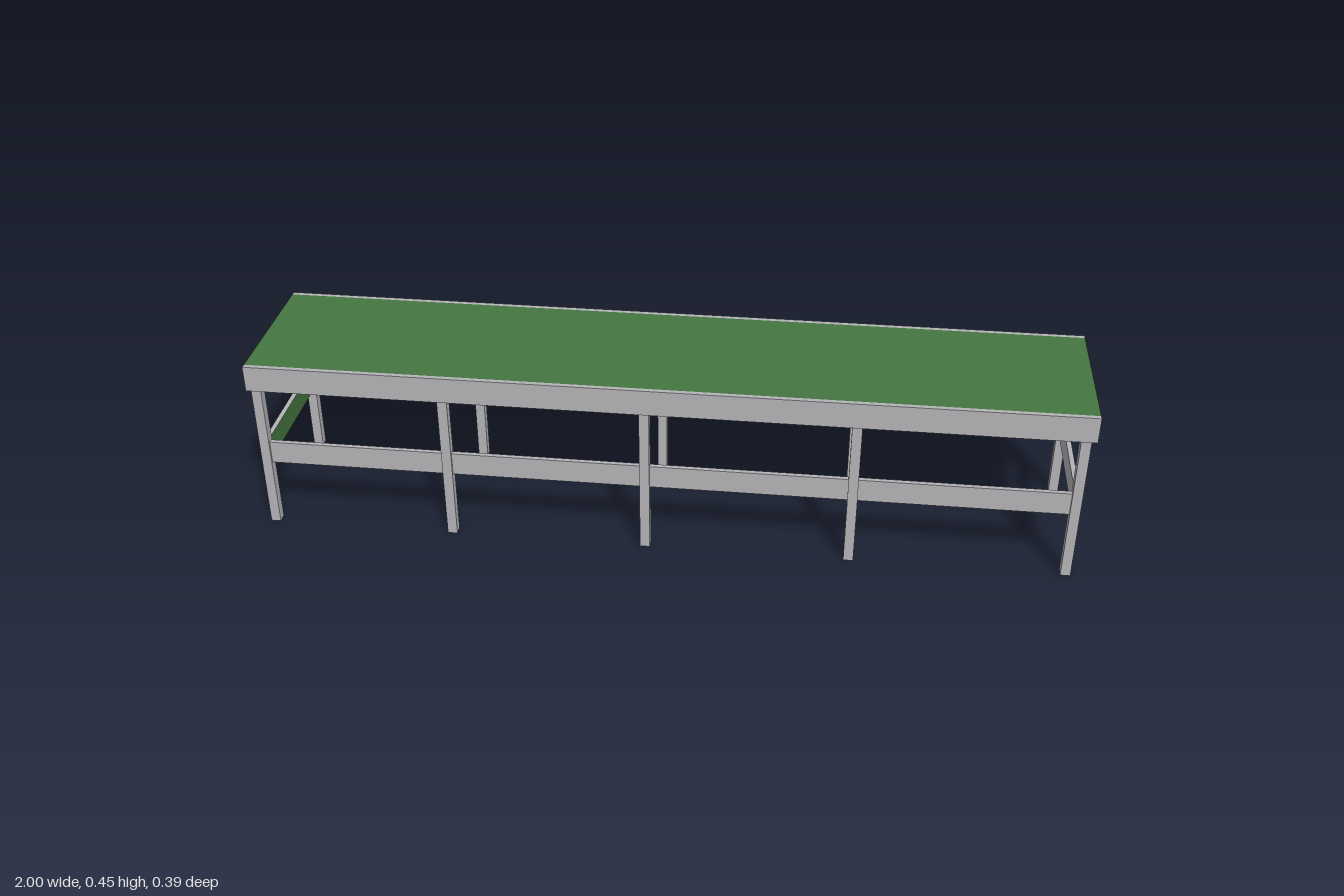
import * as THREE from 'three';

export function createModel() {
  const model = new THREE.Group();
  model.name = 'longTable';

  const green = new THREE.MeshStandardMaterial({ color: 0x457641 });
  green.name = 'green';
  const grey = new THREE.MeshStandardMaterial({ color: 0xb4b4b8 });
  grey.name = 'grey';

  // Box given by its lower and upper corners
  function box(name, material, [x0, y0, z0], [x1, y1, z1]) {
    const mesh = new THREE.Mesh(new THREE.BoxGeometry(x1 - x0, y1 - y0, z1 - z0), material);
    mesh.position.set((x0 + x1) / 2, (y0 + y1) / 2, (z0 + z1) / 2);
    mesh.name = name;
    model.add(mesh);
  }

  const topLow = 0.382, topHigh = 0.447;
  const barLow = 0.173, barHigh = 0.231;
  const legX = [-0.978, -0.524, -0.041, 0.457, 0.976];
  const legHalf = 0.012, barHalf = 0.006;
  const sides = [['front', 0.177], ['back', -0.18]];

  // Solid top
  box('tableTop', green, [-1, topLow, -0.184], [1, topHigh, 0.184]);

  for (const [side, z] of sides) {
    // Trim board along the long edge of the top
    const s = Math.sign(z);
    const edge = [s * 0.184, s * 0.196].sort((a, b) => a - b);
    box(side + 'Trim', grey, [-1, topLow, edge[0]], [1, topHigh, edge[1]]);

    // Legs
    legX.forEach((x, i) => box(side + 'Leg' + (i + 1), grey,
      [x - legHalf, 0, z - legHalf], [x + legHalf, topLow, z + legHalf]));

    // Long stretchers, one span between each pair of legs
    for (let i = 0; i < legX.length - 1; i++) {
      box(side + 'Stretcher' + (i + 1), grey,
        [legX[i] + legHalf, barLow, z - barHalf],
        [legX[i + 1] - legHalf, barHigh, z + barHalf]);
    }
  }

  // End stretchers, green on the face towards +x only
  const endFaces = [green, grey, grey, grey, grey, grey];
  for (const [name, x] of [['rightEndStretcher', legX[0]], ['leftEndStretcher', legX[4]]]) {
    box(name, endFaces, [x - barHalf, barLow, -0.168], [x + barHalf, barHigh, 0.165]);
  }

  return model;
}
